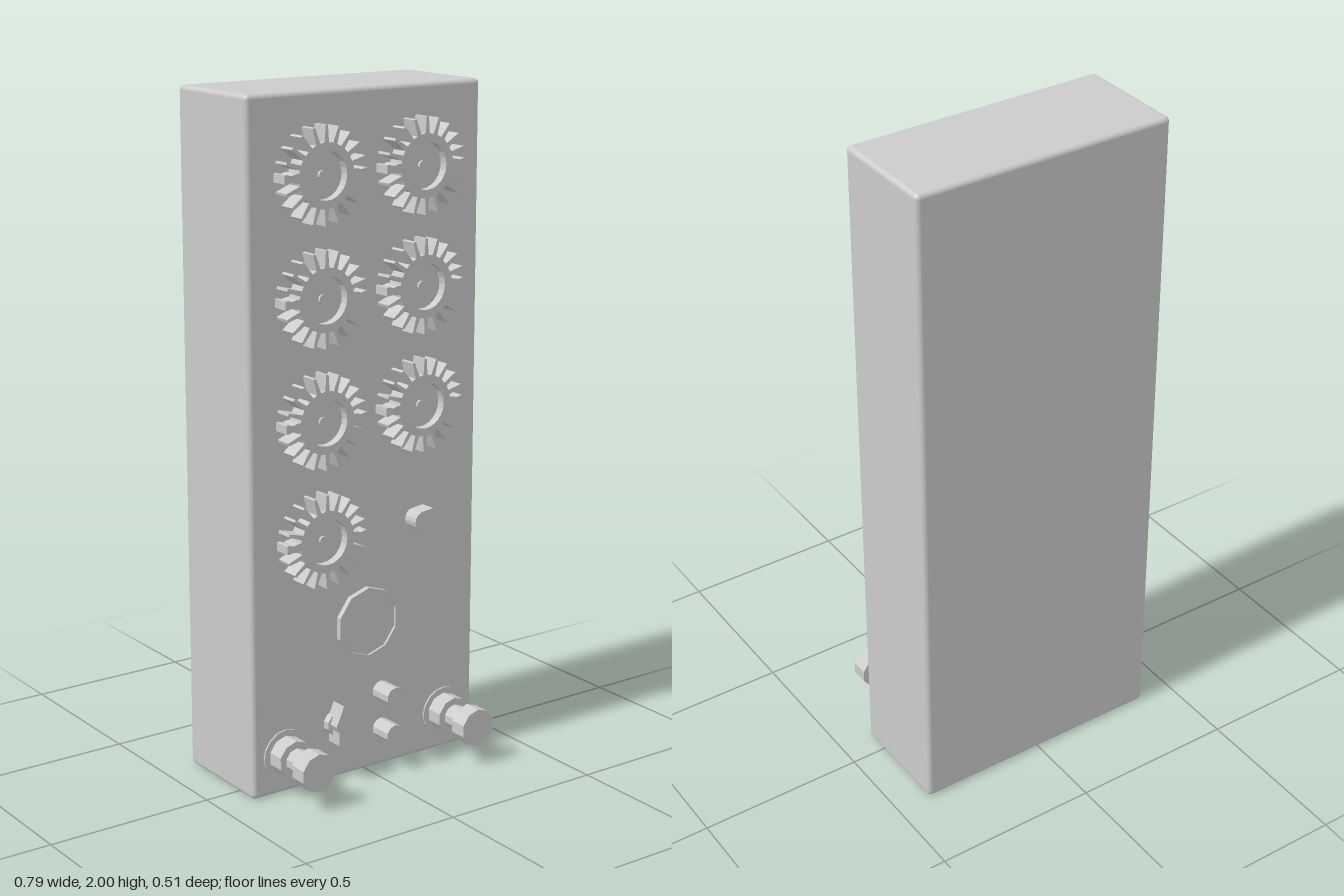
import * as THREE from 'three';
import { RoundedBoxGeometry } from 'three/addons/geometries/RoundedBoxGeometry.js';

const FACE = 0.083; // z of the front panel
const flat = new THREE.MeshStandardMaterial({ color: 0xcccccc, flatShading: true });
const smooth = new THREE.MeshStandardMaterial({ color: 0xcccccc });

function add(parent, name, geometry, material = flat) {
  const mesh = new THREE.Mesh(geometry, material);
  mesh.name = name;
  parent.add(mesh);
  return mesh;
}

function groupAt(parent, name, x, y) {
  const g = new THREE.Group();
  g.name = name;
  g.position.set(x, y, FACE);
  parent.add(g);
  return g;
}

// Turned part around the z axis; profile holds [radius, z] pairs
function turned(profile, sides) {
  const pts = profile.map(([r, z]) => new THREE.Vector2(r, z));
  return new THREE.LatheGeometry(pts, sides).rotateX(Math.PI / 2);
}

function extrude(shape, depth) {
  return new THREE.ExtrudeGeometry(shape, { depth, bevelEnabled: false, curveSegments: 6 });
}

// Fluted rim: thin radial fins with a wide waisted grip on each side
function rimShape() {
  const shape = new THREE.Shape();
  const count = 20, root = 0.09, tip = 0.137;
  const point = (r, a, offset) => [
    r * Math.cos(a) - offset * Math.sin(a),
    r * Math.sin(a) + offset * Math.cos(a),
  ];
  for (let i = 0; i < count; i++) {
    const a = (i / count) * Math.PI * 2;
    const grip = i % 10 === 0;
    const outline = grip
      ? [[root, -0.013], [0.1, -0.013], [0.115, -0.009], [0.13, -0.013], [tip, -0.012],
         [tip, 0.012], [0.13, 0.013], [0.115, 0.009], [0.1, 0.013], [root, 0.013]]
      : [[root, -0.007], [tip, -0.004], [tip, 0.004], [root, 0.007]];
    outline.forEach(([r, o], j) => {
      const p = point(r, a, o);
      if (i === 0 && j === 0) shape.moveTo(...p);
      else shape.lineTo(...p);
    });
  }
  shape.closePath();
  const hole = new THREE.Path();
  hole.absarc(0, 0, 0.085, 0, Math.PI * 2, true);
  shape.holes.push(hole);
  return shape;
}

export function createModel() {
  const model = new THREE.Group();
  model.name = 'decadeBox';

  // Case
  const body = add(model, 'case', new RoundedBoxGeometry(0.79, 2, 0.338, 3, 0.014), smooth);
  body.position.set(0, 1, -0.086);

  // Rotary dials: four on one side, three on the other
  const rim = extrude(rimShape(), 0.052);
  const dish = turned([[0.087, 0], [0.087, 0.052], [0.067, 0.052], [0.067, 0.026], [0, 0.026]], 24);
  const pin = turned([[0.013, 0.02], [0.013, 0.034], [0, 0.034]], 10);
  [1.775, 1.435, 1.09, 0.745].forEach((y, row) => {
    for (const x of row < 3 ? [-0.17, 0.17] : [-0.17]) {
      const dial = groupAt(model, 'dial', x, y);
      add(dial, 'dialFins', rim);
      add(dial, 'dialDish', dish);
      add(dial, 'dialPin', pin);
    }
  });

  // Teardrop pointer knob, its point up and outwards
  const drop = new THREE.Shape();
  drop.absarc(0, 0, 0.03, Math.PI / 2, Math.PI * 2, false);
  drop.lineTo(0.034, 0.034);
  drop.closePath();
  add(groupAt(model, 'pointerKnob', 0.17, 0.745), 'pointerBody', extrude(drop, 0.05));

  // Round window with a low ten-sided bezel
  const bezel = groupAt(model, 'roundWindow', 0, 0.46);
  add(bezel, 'windowBezel',
    turned([[0.107, 0], [0.107, 0.017], [0.099, 0.017], [0.099, 0.01], [0, 0.01]], 10));

  // Selector switch: round base with a slim pointed lever
  const selector = groupAt(model, 'selectorSwitch', -0.115, 0.175);
  add(selector, 'selectorBase', turned([[0.036, 0], [0.034, 0.02], [0, 0.022]], 10));
  const lever = new THREE.Shape();
  lever.moveTo(-0.016, -0.055);
  for (const [x, y] of [[0.016, -0.055], [0.016, -0.015], [0.026, 0.005], [0.01, 0.04],
    [0, 0.065], [-0.01, 0.04], [-0.026, 0.005], [-0.016, -0.015]]) lever.lineTo(x, y);
  lever.closePath();
  add(selector, 'selectorLever', extrude(lever, 0.052));

  // Two push buttons
  for (const y of [0.118, 0.235]) {
    const button = groupAt(model, 'pushButton', 0.055, y);
    add(button, 'buttonCap', turned([[0.03, 0], [0.03, 0.073], [0, 0.073]], 10));
  }

  // Binding posts on thin washers
  for (const x of [-0.285, 0.285]) {
    const post = groupAt(model, 'bindingPost', x, 0.118);
    add(post, 'postWasher', turned([[0.074, 0], [0.074, 0.005], [0, 0.005]], 16));
    add(post, 'postBody', turned([[0.057, 0], [0.057, 0.058], [0.036, 0.058], [0.036, 0.117],
      [0.057, 0.117], [0.057, 0.172], [0, 0.172]], 10));
  }

  return model;
}
